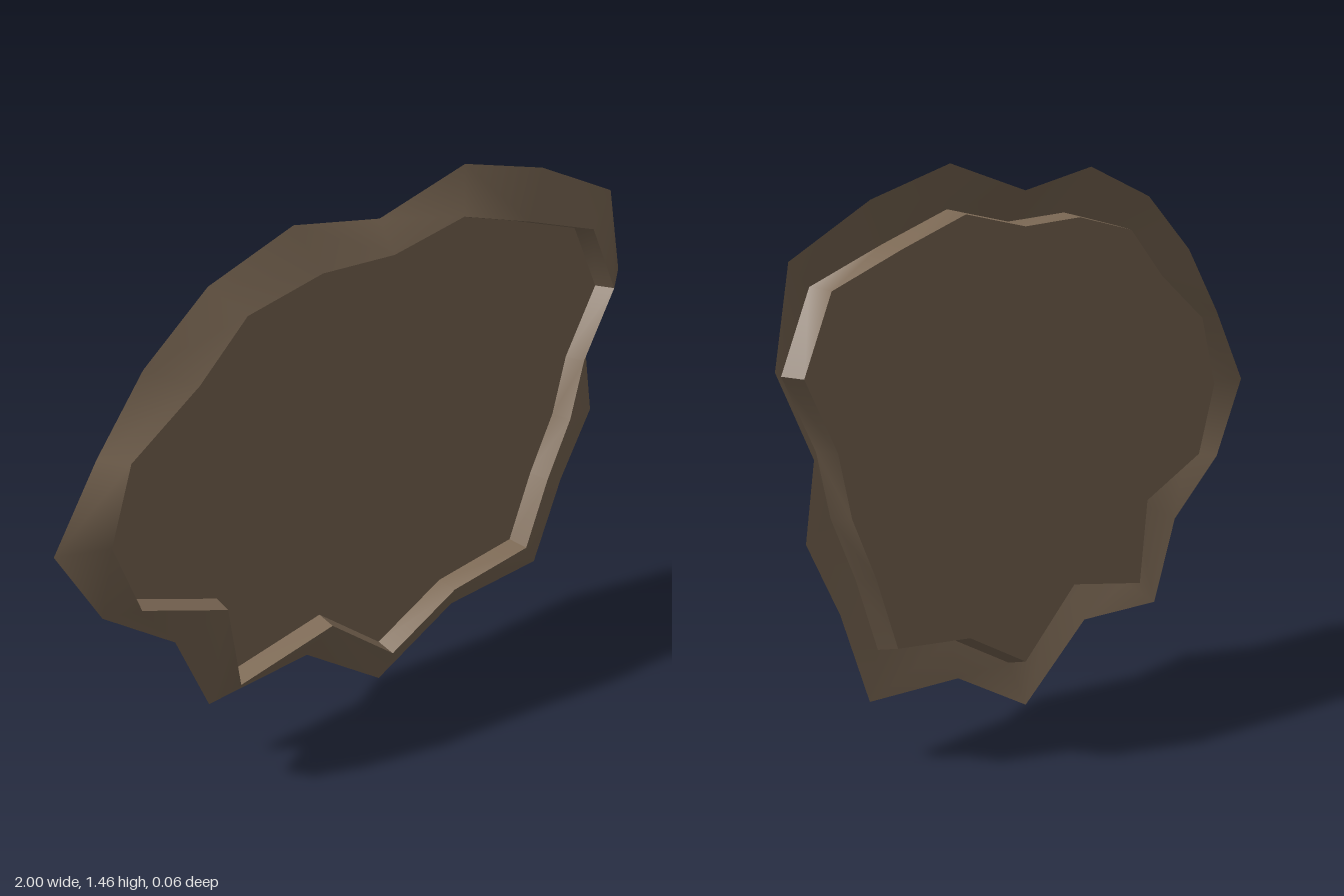
import * as THREE from 'three';
import { toCreasedNormals } from 'three/addons/utils/BufferGeometryUtils.js';

const HALF_DEPTH = 0.029;

// Outlines run clockwise as seen from the front, corner matching corner
const outerEdge = [
  [-1, 0.775], [-0.86, 0.99], [-0.71, 1.18], [-0.505, 1.34], [-0.23, 1.43],
  [0.06, 1.377], [0.366, 1.455], [0.665, 1.377], [0.95, 1.246], [1, 0.995],
  [0.874, 0.775], [0.906, 0.577], [0.79, 0.385], [0.687, 0.147], [0.345, 0.134],
  [0.06, 0], [-0.206, 0.184], [-0.548, 0.171], [-0.65, 0.4], [-0.87, 0.556],
];
const rimEdge = [
  [-0.87, 0.775], [-0.8, 0.98], [-0.585, 1.12], [-0.43, 1.26], [-0.185, 1.307],
  [0.06, 1.294], [0.31, 1.337], [0.56, 1.262], [0.82, 1.176], [0.92, 0.973],
  [0.805, 0.78], [0.757, 0.61], [0.67, 0.444], [0.59, 0.25], [0.3, 0.22],
  [0.06, 0.107], [-0.163, 0.283], [-0.484, 0.23], [-0.52, 0.47], [-0.79, 0.572],
];
// The floor outline is the rim drawn slightly inward
const floorEdge = rimEdge.map(([x, y]) => [0.03 + (x - 0.03) * 0.981, 0.75 + (y - 0.75) * 0.981]);

// Closed band of quads between two outlines at different depths
function band(a, za, b, zb) {
  const n = a.length;
  const position = [];
  const index = [];
  a.forEach(([x, y]) => position.push(x, y, za));
  b.forEach(([x, y]) => position.push(x, y, zb));
  for (let i = 0; i < n; i++) {
    const j = (i + 1) % n;
    index.push(i, n + i, n + j, i, n + j, j);
  }
  const geometry = new THREE.BufferGeometry();
  geometry.setAttribute('position', new THREE.Float32BufferAttribute(position, 3));
  geometry.setIndex(index);
  geometry.computeVertexNormals();
  return geometry;
}

export function createModel() {
  const group = new THREE.Group();
  group.name = 'shallowBasin';
  const earth = new THREE.MeshStandardMaterial({ color: 0x826e59, side: THREE.DoubleSide });
  earth.name = 'earth brown';

  const add = (name, geometry) => {
    const mesh = new THREE.Mesh(geometry, earth);
    mesh.name = name;
    group.add(mesh);
    return mesh;
  };

  // Smooth bank sloping from the outer edge up to the rim
  add('outerBank', band(outerEdge, -HALF_DEPTH, rimEdge, HALF_DEPTH));

  // Steep wall dropping from the rim back to the floor
  add('innerWall', toCreasedNormals(band(rimEdge, HALF_DEPTH, floorEdge, -HALF_DEPTH), 0.8));

  // Flat recessed floor
  const shape = new THREE.Shape(floorEdge.map(([x, y]) => new THREE.Vector2(x, y)));
  add('floor', new THREE.ShapeGeometry(shape)).position.z = -HALF_DEPTH;

  return group;
}
